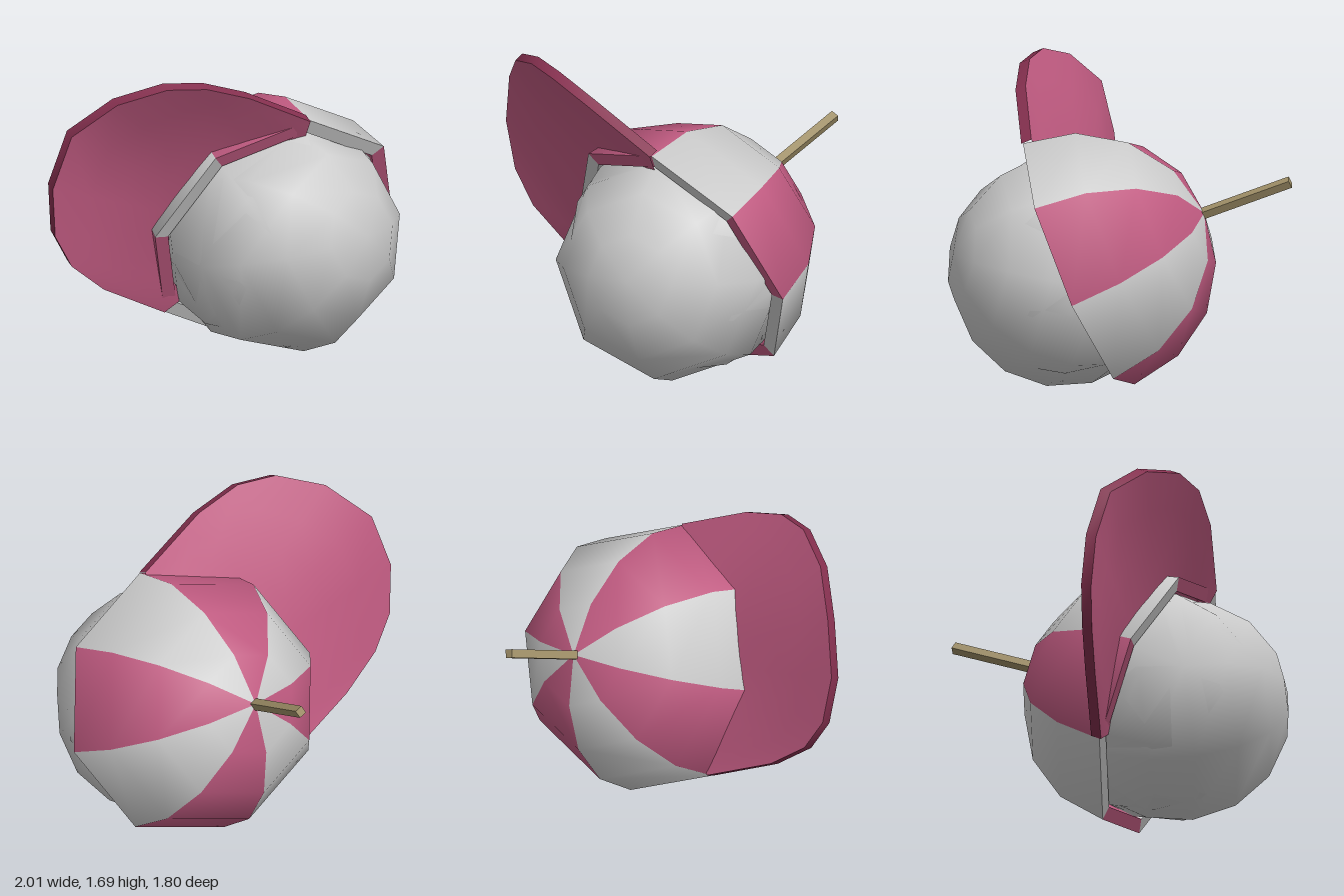
import * as THREE from 'three';

const PINK = 0xbf5a80, DARK_PINK = 0x85304f, GREY = 0xcccccc, WOOD = 0xa09068;
const mat = (color, side = THREE.FrontSide) => new THREE.MeshStandardMaterial({ color, side });

function add(parent, name, geometry, material) {
  const mesh = new THREE.Mesh(geometry, material);
  mesh.name = name;
  parent.add(mesh);
  return mesh;
}

// Smooth sheet through rows of points
function sheet(rows, flip) {
  const n = rows[0].length, index = [];
  for (let j = 0; j < rows.length - 1; j++) for (let i = 0; i < n - 1; i++) {
    const a = j * n + i, b = a + 1, c = a + n, d = c + 1;
    if (flip) index.push(a, c, b, b, c, d);
    else index.push(a, b, c, b, d, c);
  }
  const g = new THREE.BufferGeometry();
  g.setAttribute('position', new THREE.Float32BufferAttribute(rows.flat(2), 3));
  g.setIndex(index);
  g.computeVertexNormals();
  return g;
}

// Visor: an arched, thick plate from inside the crown to a mirrored outline
function buildVisor() {
  const half = [[0.69, 0.29, -0.005], [0.69, 0.75, 0.015], [0.64, 1.02, 0.05], [0.53, 1.205, 0.105], [0.305, 1.36, 0.185]];
  const outer = [...half, [0, 1.425, 0.25], ...half.map(([x, z, y]) => [-x, z, y]).reverse()];
  const steps = [0, 0.2, 0.45, 0.7, 1], r = 0.62;
  const layer = (offset) => steps.map((t) => outer.map(([x, z, y], i) => {
    const s = i / (outer.length - 1);
    const a = Math.PI / 8 + s * Math.PI * 0.75;
    return [
      THREE.MathUtils.lerp(r * Math.cos(a), x, t),
      THREE.MathUtils.lerp(0.075 * Math.sin(Math.PI * s), y, t) + offset,
      THREE.MathUtils.lerp(r * Math.sin(a), z, t)];
  }));
  const top = layer(0.055), bottom = layer(-0.005), last = steps.length - 1;
  const visor = new THREE.Group();
  visor.name = 'visor';
  add(visor, 'visorTop', sheet(top, false), mat(PINK));
  add(visor, 'visorUnderside', sheet(bottom, true), mat(PINK));
  add(visor, 'visorEdge', sheet([top[last], bottom[last]], false), mat(DARK_PINK, THREE.DoubleSide));
  add(visor, 'visorInnerEdge', sheet([top[0], bottom[0]], true), mat(PINK));
  return visor;
}

export function createModel() {
  const model = new THREE.Group();
  model.name = 'cappedBall';

  // Ball-shaped head, its pole pointing forward and slightly up
  const ball = new THREE.SphereGeometry(0.65, 8, 8);
  const head = add(model, 'head', ball.clone().rotateX(Math.PI / 2), mat(GREY));
  head.position.set(0.26, 0.66, 0.26);
  head.rotation.set(-0.19, 0, 0.06);

  // Cap frame: y along the crown axis, z towards the visor
  const cap = new THREE.Group();
  cap.name = 'cap';
  const up = new THREE.Vector3(0.306, 0.401, -0.864).normalize();
  const forward = new THREE.Vector3(-0.893, 0.429, -0.133);
  forward.addScaledVector(up, -forward.dot(up)).normalize();
  const side = new THREE.Vector3().crossVectors(up, forward);
  cap.quaternion.setFromRotationMatrix(new THREE.Matrix4().makeBasis(side, up, forward));
  cap.position.set(0.265, 0.685, 0.195);
  model.add(cap);

  // Second ball filling the cap, its ridges lined up with the panels
  add(cap, 'headFilling', ball.rotateY(Math.PI / 8), mat(GREY));

  // Eight alternating panels, each with an outside, a lining and a rim
  const R = 0.747, INNER = 0.665, step = Math.PI / 4;
  const arc = (radius) => [0, 1, 2, 3, 4].map((i) => {
    const a = (i * Math.PI) / 8;
    return new THREE.Vector2(i === 4 ? 0 : radius * Math.cos(a), radius * Math.sin(a));
  });
  const rimLine = [new THREE.Vector2(INNER, 0), new THREE.Vector2(R, 0)];
  for (let k = 0; k < 8; k++) {
    const material = mat(k % 2 ? GREY : PINK);
    const wedge = (profile) => new THREE.LatheGeometry(profile, 1, (k + 0.5) * step, step);
    const panel = new THREE.Group();
    panel.name = 'capPanel' + (k + 1);
    add(panel, 'outside', wedge(arc(R)), material);
    add(panel, 'lining', wedge(arc(INNER).reverse()), material);
    add(panel, 'rim', wedge(rimLine), material);
    cap.add(panel);
  }

  cap.add(buildVisor());

  // Square stick standing on the crown
  const from = new THREE.Vector3(0.48, 0.97, -0.42), to = new THREE.Vector3(0.69, 1.175, -0.882);
  const dir = to.clone().sub(from);
  const stick = add(model, 'stick', new THREE.BoxGeometry(0.046, dir.length(), 0.046), mat(WOOD));
  stick.position.copy(from).add(to).multiplyScalar(0.5);
  stick.quaternion.setFromUnitVectors(new THREE.Vector3(0, 1, 0), dir.normalize());

  return model;
}
